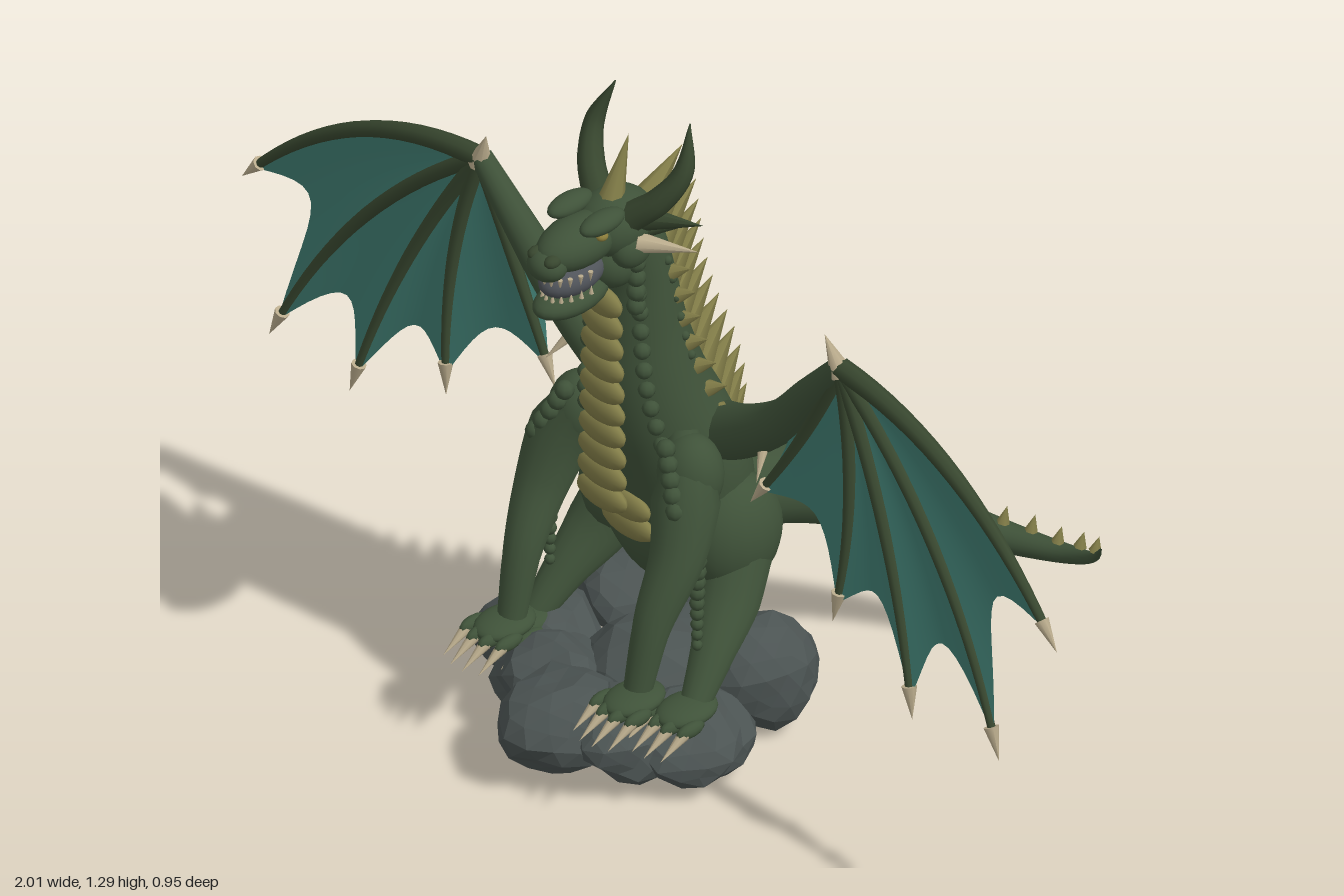
import * as THREE from 'three';
import { toCreasedNormals } from 'three/addons/utils/BufferGeometryUtils.js';

const V = (x, y, z) => new THREE.Vector3(x, y, z);

export function createModel() {
  const root = new THREE.Group();
  const material = (name, color, extra = {}) => {
    const m = new THREE.MeshStandardMaterial({ color, ...extra });
    m.name = name;
    return m;
  };
  const green = material('scaleGreen', 0x3f5239);
  const dark = material('darkGreen', 0x38472f);
  const olive = material('plateOlive', 0x827d48);
  const cream = material('clawCream', 0xb9ab8c);
  const teal = material('membraneTeal', 0x3f7b70, { side: THREE.DoubleSide });
  const stone = material('stoneGrey', 0x4b5352, { flatShading: true });
  const gum = material('mouthGrey', 0x50545a);
  const amber = material('eyeAmber', 0x8a7c3a);

  const add = (name, geo, mat) => {
    const m = new THREE.Mesh(geo, mat);
    m.name = name;
    root.add(m);
    return m;
  };
  const ball = (name, mat, p, r, seg = 20) => {
    const m = add(name, new THREE.SphereGeometry(1, seg, Math.ceil(seg * 0.7)), mat);
    m.position.copy(p);
    m.scale.copy(r);
    return m;
  };
  const bead = (name, p, r) => ball(name, green, p, V(r, r, r), 8);
  const spike = (name, mat, base, tip, r, sides = 8, flat = 1) => {
    const d = tip.clone().sub(base), len = d.length();
    const geo = new THREE.ConeGeometry(r, len, sides).translate(0, len / 2, 0).scale(flat, 1, 1);
    const m = add(name, geo, mat);
    m.position.copy(base);
    m.quaternion.setFromUnitVectors(V(0, 1, 0), d.normalize());
    return m;
  };
  // Tube whose radius follows a list of values along the curve
  const limb = (name, mat, curve, radii, seg = 28, sides = 14) => {
    const geo = new THREE.TubeGeometry(curve, seg, 1, sides), pos = geo.attributes.position;
    const p = V(0, 0, 0);
    for (let i = 0; i < pos.count; i++) {
      const t = Math.floor(i / (sides + 1)) / seg, f = t * (radii.length - 1);
      const k = Math.min(Math.floor(f), radii.length - 2);
      const r = THREE.MathUtils.lerp(radii[k], radii[k + 1], f - k), c = curve.getPointAt(t);
      p.fromBufferAttribute(pos, i).sub(c).multiplyScalar(r).add(c);
      pos.setXYZ(i, p.x, p.y, p.z);
    }
    return add(name, geo, mat);
  };
  const spline = (...pts) => new THREE.CatmullRomCurve3(pts.map(p => V(...p)));
  const both = fn => [1, -1].forEach(fn);

  // Torso and neck: stations of y, z centre, half width, half depth
  const stations = [
    [0.285, 0.07, 0.01, 0.01], [0.31, 0.07, 0.085, 0.07], [0.37, 0.065, 0.135, 0.105],
    [0.46, 0.065, 0.15, 0.12], [0.55, 0.08, 0.15, 0.125], [0.65, 0.11, 0.13, 0.12],
    [0.75, 0.14, 0.105, 0.1], [0.85, 0.155, 0.085, 0.08], [0.95, 0.163, 0.072, 0.066],
    [1.04, 0.18, 0.062, 0.06], [1.1, 0.2, 0.04, 0.04],
  ];
  const centre = spline(...stations.map(s => [0, s[0], s[1]]));
  const widths = spline(...stations.map(s => [s[2], 0, s[3]]));
  const skin = (t, a) => {
    const c = centre.getPoint(t), w = widths.getPoint(t);
    return V(Math.sin(a) * w.x, c.y, c.z + Math.cos(a) * w.z);
  };
  const atY = (y, a) => {
    let lo = 0, hi = 1;
    for (let i = 0; i < 20; i++) {
      const mid = (lo + hi) / 2;
      if (centre.getPoint(mid).y < y) lo = mid; else hi = mid;
    }
    return skin(lo, a);
  };
  const torso = new THREE.CylinderGeometry(1, 1, 1, 32, 50, true), tp = torso.attributes.position;
  for (let i = 0; i < tp.count; i++) {
    const p = skin(tp.getY(i) + 0.5, Math.atan2(tp.getX(i), tp.getZ(i)));
    tp.setXYZ(i, p.x, p.y, p.z);
  }
  add('torsoAndNeck', toCreasedNormals(torso, 1.2), green);

  // Belly plates, back spines and neck scales
  for (let i = 0; i < 12; i++) {
    const y = 0.435 + i * 0.045, p = atY(y, 0);
    p.z = y > 0.52 ? Math.max(p.z + 0.003, 0.246) : p.z + 0.003;
    ball('bellyPlate', olive, p, V(0.064 - i * 0.0015, 0.029, 0.018), 14);
  }
  for (let i = 0; i < 15; i++) {
    const k = i / 14, b = atY(0.47 + 0.61 * k, Math.PI);
    b.z += 0.012;
    spike('backSpine', olive, b, b.clone().add(V(0, 0.075 + 0.01 * k, -0.06 - 0.045 * k)), 0.031, 6);
  }
  both(s => {
    for (let i = 0; i < 7; i++) {
      const b = atY(0.67 + i * 0.05, s * 2.0);
      spike('neckSpine', olive, b, b.clone().add(V(s * 0.033, 0.016, -0.012)), 0.016, 6);
    }
    for (let i = 0; i < 15; i++) bead('chestScale', atY(0.42 + i * 0.038, s * 0.8), 0.016);
    for (let i = 0; i < 5; i++) bead('shoulderScale', V(s * (0.125 + i * 0.012), 0.665 - i * 0.024, 0.215 + i * 0.006), 0.018);
    for (let i = 0; i < 6; i++) bead('neckScale', atY(0.8 + i * 0.04, s * 1.9), 0.009);
    for (let i = 0; i < 5; i++) bead('throatScale', V(s * 0.052, 0.93 + i * 0.03, 0.215), 0.018);
  });

  // Tail
  const tail = spline([0, 0.42, 0.03], [0.015, 0.405, -0.07], [0.05, 0.37, -0.17], [0.115, 0.332, -0.26],
    [0.2, 0.297, -0.345], [0.32, 0.268, -0.42], [0.43, 0.272, -0.455], [0.5, 0.302, -0.45], [0.54, 0.35, -0.43]);
  const tailRadii = [0.105, 0.087, 0.07, 0.057, 0.045, 0.034, 0.024, 0.014, 0.001];
  limb('tail', green, tail, tailRadii, 48, 18);
  for (let i = 0; i < 13; i++) {
    const t = 0.2 + i * 0.061, r = tailRadii[Math.floor(t * 8)] * 0.85, b = tail.getPointAt(t);
    b.y += r;
    spike('tailSpine', olive, b, b.clone().add(V(0.004, 0.046 - 0.018 * t, -0.006)), 0.012, 6);
  }

  // Legs and feet
  const foot = (name, s, x, y, z) => {
    ball(name, green, V(s * x, y, z), V(0.046, 0.02, 0.062));
    for (let i = 0; i < 4; i++) {
      const tx = s * (x + (i - 1.5) * 0.029), reach = i === 0 || i === 3 ? -0.012 : 0;
      ball('toe', green, V(tx, y - 0.006, z + 0.045 + reach), V(0.013, 0.014, 0.032), 10);
      spike('claw', cream, V(tx, y - 0.008, z + 0.06 + reach), V(tx, y - 0.04, z + 0.118 + reach), 0.0115);
    }
  };
  both(s => {
    limb('frontLeg', green, spline([s * 0.1, 0.66, 0.15], [s * 0.145, 0.58, 0.185], [s * 0.165, 0.47, 0.225],
      [s * 0.16, 0.35, 0.28], [s * 0.155, 0.21, 0.315]), [0.03, 0.062, 0.047, 0.033, 0.025]);
    ball('shoulder', green, V(s * 0.135, 0.595, 0.165), V(0.06, 0.078, 0.058));
    foot('frontFoot', s, 0.16, 0.213, 0.325);
    for (let i = 0; i < 9; i++) bead('legScale', V(s * 0.182, 0.272 + i * 0.022, 0.195), 0.01 + 0.001 * i);
    ball('haunch', green, V(s * 0.125, 0.42, 0.057), V(0.078, 0.114, 0.099));
    limb('rearShin', green, spline([s * 0.14, 0.38, 0.06], [s * 0.16, 0.31, 0.1], [s * 0.18, 0.24, 0.155],
      [s * 0.195, 0.17, 0.21]), [0.065, 0.058, 0.04, 0.028]);
    foot('rearFoot', s, 0.197, 0.164, 0.235);
  });

  // Wings: arm, fingers and scalloped membrane
  both(s => {
    limb('wingArm', green, spline([s * 0.05, 0.6, 0.06], [s * 0.16, 0.65, 0.07], [s * 0.27, 0.73, 0.08],
      [s * 0.36, 0.84, 0.095], [s * 0.445, 0.945, 0.105]), [0.058, 0.048, 0.038, 0.03, 0.02]);
    const wrist = V(s * 0.445, 0.94, 0.105);
    spike('wristClaw', cream, V(s * 0.447, 0.93, 0.105), V(s * 0.418, 1.005, 0.118), 0.022);
    const fingers = [
      [0.745, 0.925, 0.11, 0.98, 0.665, 0.13], [0.735, 0.74, 0.125, 0.885, 0.41, 0.165],
      [0.61, 0.69, 0.135, 0.685, 0.4, 0.172], [0.515, 0.72, 0.125, 0.483, 0.49, 0.152],
      [0.365, 0.76, 0.1, 0.262, 0.6, 0.12], [0.38, 0.86, 0.095, 0.28, 0.74, 0.085],
    ].map(f => new THREE.QuadraticBezierCurve3(wrist, V(s * f[0], f[1], f[2]), V(s * f[3], f[4], f[5])));
    fingers.slice(0, 5).forEach((f, i) => {
      limb('wingFinger', dark, f, i ? [0.015, 0.012, 0.007] : [0.02, 0.015, 0.008], 16, 8);
      const tip = f.getPoint(1), dir = f.getTangent(1);
      spike('wingClaw', cream, tip.clone().addScaledVector(dir, -0.022), tip.clone().addScaledVector(dir, 0.04), 0.014);
    });
    spike('wingThorn', cream, V(s * 0.235, 0.67, 0.085), V(s * 0.262, 0.62, 0.13), 0.012);
    const depth = [0.22, 0.2, 0.19, 0.18, 0.15], nu = 12, nv = 14;
    for (let k = 0; k < 5; k++) {
      const geo = new THREE.PlaneGeometry(1, 1, nu, nv), pos = geo.attributes.position;
      for (let i = 0; i < pos.count; i++) {
        const u = pos.getX(i) + 0.5, bow = Math.sin(Math.PI * u);
        const v = (0.5 - pos.getY(i)) * (1 - depth[k] * bow);
        const p = fingers[k].getPoint(v).lerp(fingers[k + 1].getPoint(v), u);
        pos.setXYZ(i, p.x, p.y, p.z - 0.012 * bow * v);
      }
      geo.computeVertexNormals();
      add('wingMembrane', geo, teal);
    }
  });

  // Head, jaws and teeth
  ball('skull', green, V(0, 1.085, 0.215), V(0.066, 0.062, 0.078));
  ball('muzzle', green, V(0, 1.085, 0.305), V(0.052, 0.046, 0.09));
  ball('nose', green, V(0, 1.07, 0.378), V(0.038, 0.03, 0.034));
  ball('mouth', gum, V(0, 1.022, 0.32), V(0.042, 0.034, 0.07));
  ball('lowerJaw', green, V(0, 0.978, 0.322), V(0.045, 0.03, 0.082));
  ball('throat', green, V(0, 1.01, 0.23), V(0.055, 0.05, 0.05));
  spike('chinSpike', dark, V(0, 0.97, 0.36), V(0, 0.942, 0.34), 0.012);
  spike('crownHorn', olive, V(0, 1.13, 0.225), V(0, 1.25, 0.182), 0.024);
  for (let i = 0; i < 11; i++) {
    const a = (i / 10 - 0.5) * Math.PI, x = Math.sin(a) * 0.042, z = 0.315 + Math.cos(a) * 0.07;
    spike('upperTooth', cream, V(x, 1.045, z), V(x, 1.024, z), 0.005, 6);
    spike('lowerTooth', cream, V(x * 0.95, 0.996, z - 0.004), V(x * 0.95, 1.014, z - 0.004), 0.0045, 6);
  }
  both(s => {
    ball('nostril', dark, V(s * 0.02, 1.088, 0.385), V(0.014, 0.012, 0.018), 10);
    ball('brow', green, V(s * 0.04, 1.133, 0.285), V(0.024, 0.019, 0.05));
    ball('eye', amber, V(s * 0.047, 1.11, 0.292), V(0.01, 0.008, 0.012), 12);
    ball('cheek', green, V(s * 0.045, 1.05, 0.22), V(0.03, 0.036, 0.04));
    limb('horn', dark, spline([s * 0.04, 1.11, 0.215], [s * 0.085, 1.155, 0.19], [s * 0.11, 1.21, 0.158],
      [s * 0.092, 1.288, 0.124]), [0.028, 0.024, 0.017, 0.001], 20, 10);
    spike('earSpike', dark, V(s * 0.045, 1.105, 0.2), V(s * 0.157, 1.12, 0.155), 0.025);
    spike('earSpike', dark, V(s * 0.045, 1.08, 0.19), V(s * 0.11, 1.09, 0.13), 0.02);
    spike('cheekSpike', cream, V(s * 0.055, 1.068, 0.22), V(s * 0.128, 1.042, 0.138), 0.021);
  });

  // Boulders: centre, half sizes and tilt
  [
    [-0.17, 0.125, 0.0, 0.11, 0.07, 0.11, -0.2], [0.14, 0.105, -0.005, 0.1, 0.1, 0.108, -0.3],
    [-0.2, 0.11, 0.2, 0.115, 0.075, 0.11, -0.1], [0.165, 0.08, 0.2, 0.115, 0.065, 0.12, -0.25],
    [0, 0.1, 0.345, 0.11, 0.09, 0.125, 0.3], [0.01, 0.1, 0.12, 0.14, 0.1, 0.15, 0],
    [-0.1, 0.1, 0.27, 0.11, 0.08, 0.1, 0.2], [0.1, 0.095, 0.29, 0.1, 0.07, 0.1, -0.3],
  ].forEach((r, k) => {
    const geo = new THREE.IcosahedronGeometry(1, 2), pos = geo.attributes.position;
    const cos = Math.cos(r[6]), sin = Math.sin(r[6]);
    for (let i = 0; i < pos.count; i++) {
      const x = pos.getX(i), y = pos.getY(i), z = pos.getZ(i);
      const d = 0.97 + 0.08 * Math.sin(5 * x + k) * Math.cos(4 * y - k) + 0.06 * Math.sin(6 * z + 2 * k + 3 * y);
      const px = x * d * r[3], py = y * d * r[4];
      pos.setXYZ(i, r[0] + px * cos - py * sin, Math.max(0, r[1] + px * sin + py * cos), r[2] + z * d * r[5]);
    }
    geo.computeVertexNormals();
    add('boulder', geo, stone);
  });
  return root;
}
